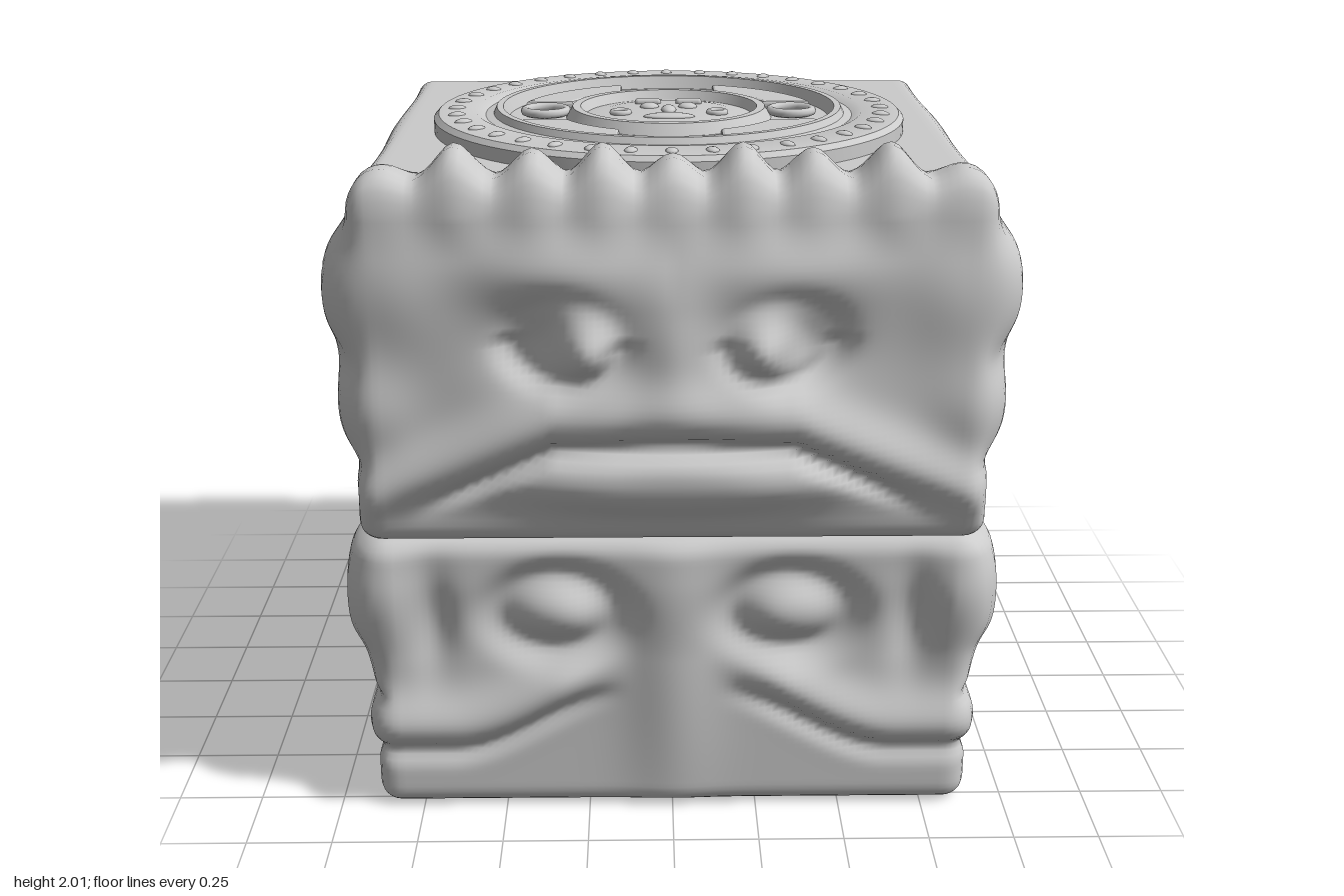
import * as THREE from 'three';
import { mergeVertices, toCreasedNormals } from 'three/addons/utils/BufferGeometryUtils.js';

const material = new THREE.MeshStandardMaterial({ color: 0xcccccc });
const clamp = THREE.MathUtils.clamp, smooth = THREE.MathUtils.smoothstep;

// Soft bell, and a flatter-topped mound
const bell = (t, w) => Math.exp(-((t / w) ** 2));
const mound = (u, v, cu, cv, ru, rv, p = 1) => Math.exp(-((((u - cu) / ru) ** 2 + ((v - cv) / rv) ** 2) ** p));

// Signed distance from a vertical capsule of radius r, spanning y0..y1
const capsule = (u, y, cu, y0, y1, r) => Math.hypot(u - cu, y - clamp(y, y0, y1)) - r;

// Rounded block whose faces are carved by relief rules
function carvedBlock(name, { x, y, z, radius, front, side, back, top }) {
  const half = new THREE.Vector3(x, (y[1] - y[0]) / 2, (z[1] - z[0]) / 2);
  const centre = new THREE.Vector3(0, (y[0] + y[1]) / 2, (z[0] + z[1]) / 2);
  let geo = new THREE.BoxGeometry(half.x * 2, half.y * 2, half.z * 2, 84, 52, 64);
  geo.deleteAttribute('uv');
  geo.deleteAttribute('normal');
  geo = mergeVertices(geo);
  const pos = geo.attributes.position;
  const inner = half.clone().subScalar(radius);
  const p = new THREE.Vector3(), q = new THREE.Vector3(), n = new THREE.Vector3();
  for (let i = 0; i < pos.count; i++) {
    p.fromBufferAttribute(pos, i);
    q.copy(p).clamp(inner.clone().negate(), inner);
    n.copy(p).sub(q).normalize();
    p.copy(q).addScaledVector(n, radius).add(centre);
    const ax = Math.abs(p.x);
    const dz = n.z > 0 ? n.z * front(ax, p.y) : n.z * back(ax, p.y);
    const dx = n.x * side(p.z, p.y);
    const dy = Math.max(n.y, 0) * top(ax, p.z);
    pos.setXYZ(i, p.x + dx, p.y + dy, p.z + dz);
  }
  geo.computeVertexNormals();
  const mesh = new THREE.Mesh(geo, material);
  mesh.name = name;
  return mesh;
}

// Upper face: brow, eyes, drooping lip, open mouth
function upperFront(x, y) {
  const lip = 1.28 - 0.48 * Math.max(0, x - 0.34) + 0.02 * bell(x, 0.3);
  let d = 0.075 * (1 - smooth(x, 0.15, 0.85)) * smooth(y, 0.9, 1.1) * (1 - 0.6 * smooth(y, 1.6, 1.9));
  d += 0.05 * bell(y - lip, 0.085);
  d -= 0.05 * bell(y - (lip - 0.105), 0.03) * (1 - smooth(x, 0.5, 0.75));
  d += 0.03 * mound(x, y, 0, 1.08, 0.42, 0.09, 2);
  d -= 0.07 * mound(x, y, 0.33, 1.48, 0.15, 0.11);
  d += 0.11 * mound(x, y, 0.25, 1.48, 0.085, 0.085);
  d -= 0.03 * bell(Math.hypot((x - 0.3) / 1.3, y - 1.5) - 0.12, 0.03) * (y < 1.5 ? 1 : 0.3);
  d += 0.03 * mound(x, y, 0.32, 1.7, 0.25, 0.09);
  d += 0.035 * mound(x, y, 0, 1.47, 0.1, 0.18);
  d += 0.03 * mound(x, y, 0.76, 1.62, 0.14, 0.17) + 0.03 * mound(x, y, 0.84, 1.28, 0.12, 0.13);
  // Hair locks running down into the forehead
  return d + 0.02 * scallop(x) * smooth(y, 1.72, 1.88);
}

const locks = [[0, 0.7], [0.19, 1], [0.38, 0.85], [0.59, 1], [0.79, 0.4]];
const scallop = (x) => locks.reduce((s, [c, h]) => Math.max(s, h * bell(x - c, 0.07)), 0);
const upperTop = (x, z) => smooth(z, 0.56, 0.74) * (0.015 + 0.1 * scallop(x));

// Ear lobes, arch and base ledge
function upperSide(z, y) {
  let d = 0.09 * mound(z, y, 0.67, 1.6, 0.2, 0.18, 2) + 0.075 * mound(z, y, 0.64, 1.27, 0.21, 0.17, 2);
  d -= 0.02 * bell(Math.hypot(z - 0.64, y - 1.6) - 0.06, 0.04);
  d += 0.02 * (1 - smooth(y, 1.06, 1.12)) - 0.01;
  const arch = capsule(z, y, 0.12, 0.9, 1.57, 0.15);
  if (y > 1.06) d += 0.018 * bell(arch - 0.05, 0.035) - 0.03 * bell(arch, 0.026);
  return d + 0.006 * Math.sin(z * 7 + y * 5);
}

// Bands across the back
const upperBack = (x, y) =>
  0.018 * smooth(y, 1.64, 1.7) + 0.018 * (1 - smooth(y, 1.06, 1.13)) - 0.012 + 0.005 * Math.sin(x * 8 + y * 9);

// Lower face: curled eyes, nose ridge and sweeping cheeks
function lowerFront(x, y) {
  const sweep = 0.2 + 0.2 * (1 - smooth(x, 0.12, 0.65));
  let d = 0.02 * smooth(y, 0.5, 0.75);
  d += 0.05 * bell(y - sweep - 0.09, 0.085) * smooth(x, 0.1, 0.35);
  d -= 0.035 * bell(y - sweep + 0.01, 0.035) * smooth(x, 0.12, 0.35);
  d -= 0.045 * bell(Math.hypot((x - 0.34) / 1.35, y - 0.64) - 0.12, 0.05);
  d += 0.025 * mound(x, y, 0.32, 0.64, 0.1, 0.07);
  d += 0.035 * mound(x, y, 0, 0.5, 0.12, 0.5);
  d += 0.04 * mound(x, y, 0.87, 0.68, 0.12, 0.2) - 0.04 * mound(x, y, 0.7, 0.62, 0.06, 0.16);
  return d;
}

// Cheek lobe and wrapped band
function lowerSide(z, y) {
  const frontPart = smooth(z, -0.05, 0.05);
  let d = 0.07 * mound(z, y, 0.65, 0.68, 0.22, 0.21, 2);
  d += frontPart * (0.02 * bell(y - 0.28, 0.07) - 0.02 * bell(y - 0.37, 0.025) - 0.018 * bell(y - 0.19, 0.025));
  d -= 0.01 * bell(y - 0.52, 0.05) * frontPart;
  d -= 0.012 * bell(z - 0.02, 0.035) * smooth(y, 0.3, 0.4) * (1 - smooth(y, 0.65, 0.75));
  return d;
}

// Row of hanging loops on the back
function lowerBack(x, y) {
  let d = 0.025 * smooth(y, 0.05, 0.3);
  for (const c of [0, 0.42, -0.42]) {
    const loop = capsule(x, y, c, 0.34, 0.7, 0.12);
    d -= 0.02 * bell(loop, 0.04) * (1 - smooth(y, 0.68, 0.76));
  }
  return d;
}

// Disc on top, all in local coordinates about its centre
function medallion() {
  const group = new THREE.Group();
  group.name = 'medallion';
  const add = (name, geo, x, y, z) => {
    const mesh = new THREE.Mesh(geo, material);
    mesh.name = name;
    mesh.position.set(x, y, z);
    group.add(mesh);
    return mesh;
  };
  const profile = [
    [0.71, -0.04], [0.73, -0.02], [0.73, 0.025], [0.715, 0.04], [0.6, 0.045], [0.57, 0.03], [0.545, 0.035],
    [0.535, 0.055], [0.515, 0.055], [0.5, 0.015], [0.32, 0.015], [0.3, 0.05], [0.275, 0.05], [0.26, 0.02], [0.2, 0.03], [0, 0.035],
  ].map(([r, y]) => new THREE.Vector2(r, y));
  add('disc', toCreasedNormals(new THREE.LatheGeometry(profile, 96), 0.6), 0, 0, 0);

  // Beads around the border
  for (let i = 0; i < 36; i++) {
    const a = (i / 36) * Math.PI * 2;
    const bead = add('borderBead', new THREE.SphereGeometry(0.022, 10, 6), Math.cos(a) * 0.66, 0.041, Math.sin(a) * 0.66);
    bead.scale.set(1.3, 0.5, 0.9);
    bead.rotation.y = -a;
  }
  // Four curved panels in the middle ring
  for (let i = 0; i < 4; i++) {
    const a = Math.PI / 4 + (i * Math.PI) / 2, s = 0.44;
    const shape = new THREE.Shape();
    shape.absarc(0, 0, 0.47, a - s, a + s, false);
    shape.absarc(0, 0, 0.35, a + s * 0.7, a - s * 0.7, true);
    const geo = new THREE.ExtrudeGeometry(shape, {
      depth: 0.012, bevelEnabled: true, bevelSize: 0.01, bevelThickness: 0.01, bevelSegments: 2, curveSegments: 12,
    });
    add('ringPanel', geo.rotateX(-Math.PI / 2), 0, 0.014, 0);
  }
  // Mirrored studs, eyes and brows of the small central face
  const ring = (r, t) => new THREE.TorusGeometry(r, t, 8, 28).rotateX(Math.PI / 2);
  for (const s of [-1, 1]) {
    add('ringStud', ring(0.065, 0.014), s * 0.385, 0.03, -0.02);
    add('earStud', ring(0.025, 0.01), s * 0.15, 0.035, 0.04);
    add('faceEye', new THREE.SphereGeometry(0.03, 12, 8), s * 0.06, 0.033, -0.06).scale.y = 0.5;
    add('faceBrow', new THREE.CapsuleGeometry(0.012, 0.06, 4, 8).rotateZ(Math.PI / 2), s * 0.065, 0.036, -0.13);
  }
  add('faceNose', new THREE.SphereGeometry(0.03, 12, 8), 0, 0.035, 0.0).scale.set(0.8, 0.5, 1.5);
  add('faceMouth', new THREE.SphereGeometry(0.08, 16, 8), 0, 0.033, 0.1).scale.set(1, 0.15, 0.4);
  group.position.set(0, 1.915, -0.08);
  return group;
}

export function createModel() {
  const model = new THREE.Group();
  model.name = 'carvedBlocks';
  model.add(
    carvedBlock('lowerBlock', {
      x: 0.885, y: [0, 0.89], z: [-0.965, 0.81], radius: 0.065,
      front: lowerFront, side: lowerSide, back: lowerBack, top: () => 0,
    }),
    carvedBlock('upperBlock', {
      x: 0.89, y: [0.88, 1.9], z: [-0.965, 0.85], radius: 0.06,
      front: upperFront, side: upperSide, back: upperBack, top: upperTop,
    }),
    medallion(),
  );
  return model;
}
